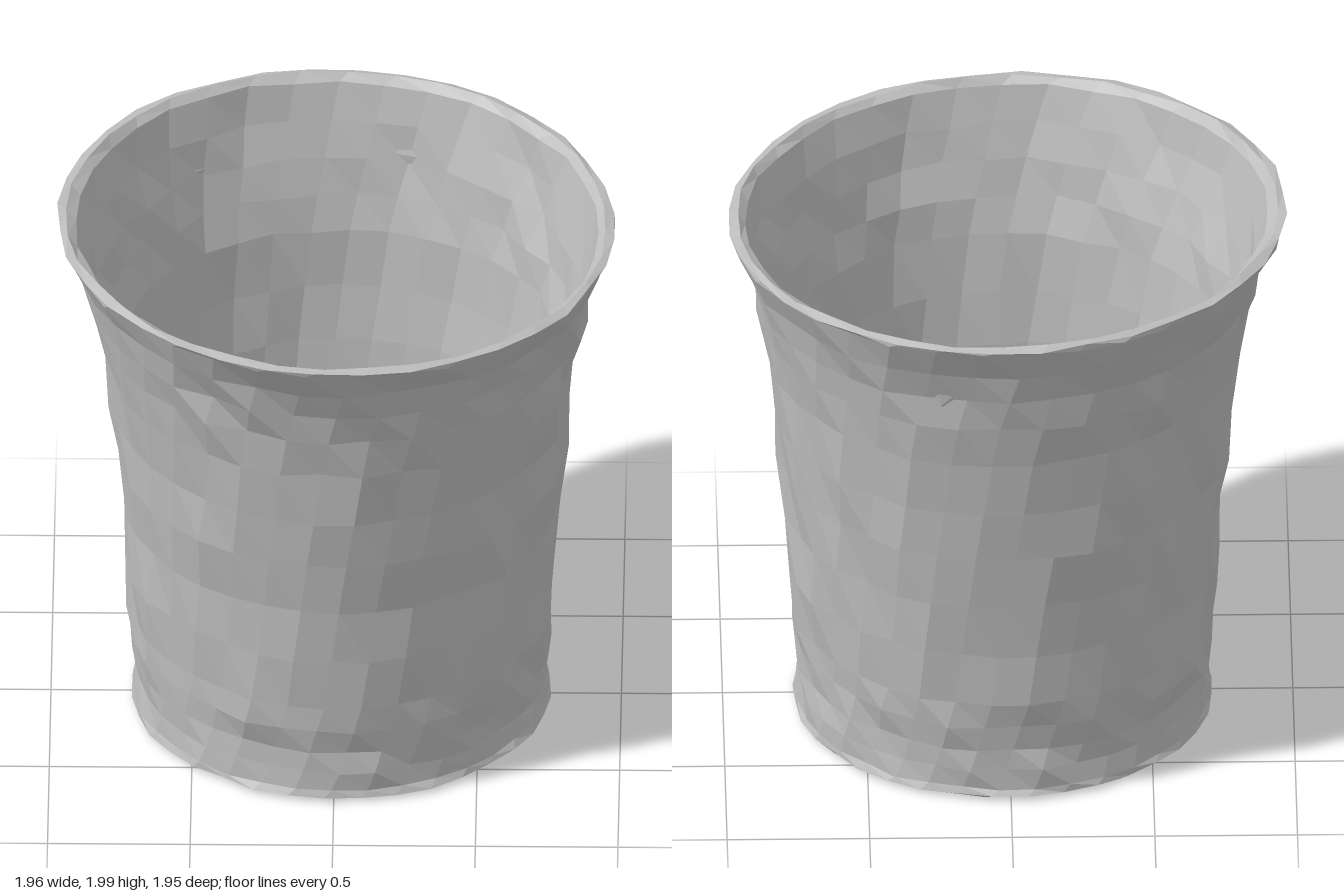
import * as THREE from 'three';

const SIDES = 36;

// Repeatable noise in -1..1 for a row and a column
function noise(row, col) {
  const s = Math.sin(row * 127.1 + col * 311.7 + 4.3) * 43758.5453;
  return 2 * (s - Math.floor(s)) - 1;
}

// Point on a hand-shaped ring: the body sits slightly off centre, the rim tilts
function ringPoint(radius, y, row, col, wobble) {
  const angle = (col / SIDES) * Math.PI * 2 - row * 0.035;
  const tilt = (Math.max(0, y) / 2) ** 4;
  const r = radius + (radius > 0 ? noise(row, col) * wobble : 0);
  const x = Math.cos(angle) * r + 0.017 * (1 - tilt);
  const z = Math.sin(angle) * r - 0.017 * (1 - tilt);
  const dy = radius > 0 ? noise(row + 50, col) * Math.min(wobble, 0.006) : 0;
  return [x, y - (0.025 * x + 0.015 * z) * tilt + dy, z];
}

// Faceted surface through rings of [radius, y, wobble]
function ringSurface(rings, firstRow) {
  const rows = rings.map(([r, y, w], i) =>
    Array.from({ length: SIDES }, (_, j) => ringPoint(r, y, firstRow + i, j, w)));
  const pos = [];
  for (let i = 0; i < rows.length - 1; i++) {
    for (let j = 0; j < SIDES; j++) {
      const k = (j + 1) % SIDES;
      const a = rows[i][j], b = rows[i + 1][j], c = rows[i + 1][k], d = rows[i][k];
      pos.push(...a, ...b, ...c);
      if (rings[i][0] > 0) pos.push(...a, ...c, ...d);
    }
  }
  return toGeometry(pos);
}

function toGeometry(pos) {
  const geometry = new THREE.BufferGeometry();
  geometry.setAttribute('position', new THREE.Float32BufferAttribute(pos, 3));
  geometry.computeVertexNormals();
  return geometry;
}

// Pleated fan: twelve ridges reach further out and higher than the folds between
function pleatedFloor() {
  const folds = 24;
  const centre = [0.005, 0.08, -0.01];
  const edge = (i) => {
    const ridge = i % 2 === 0;
    const a = (i / folds) * Math.PI * 2;
    const r = (ridge ? 0.575 : 0.525) + noise(90, i % folds) * 0.012;
    return [Math.cos(a) * r + 0.01, ridge ? 0.22 : 0.15, Math.sin(a) * r - 0.01];
  };
  const pos = [];
  for (let i = 0; i < folds; i++) pos.push(...centre, ...edge(i + 1), ...edge(i));
  return toGeometry(pos);
}

export function createModel() {
  const clay = new THREE.MeshStandardMaterial({ color: 0xbcbcbc });
  clay.name = 'grey clay';
  clay.flatShading = true;
  clay.side = THREE.DoubleSide;

  const group = new THREE.Group();
  group.name = 'cup';
  const add = (name, geometry) => {
    const mesh = new THREE.Mesh(geometry, clay);
    mesh.name = name;
    group.add(mesh);
  };

  // Flat underside and thin flared foot
  add('base', ringSurface([
    [0, 0.03, 0], [0.4, 0.025, 0.01], [0.715, 0.012, 0.008],
    [0.738, 0.022, 0.006], [0.728, 0.045, 0.008],
  ], 0));

  // Outer wall, flaring toward the rim
  add('outerWall', ringSurface([
    [0.728, 0.045, 0.008], [0.725, 0.12, 0.012], [0.725, 0.2, 0.014], [0.738, 0.3, 0.014],
    [0.745, 0.4, 0.014], [0.757, 0.6, 0.014], [0.766, 0.81, 0.014], [0.788, 1.02, 0.014],
    [0.805, 1.21, 0.014], [0.825, 1.42, 0.016], [0.855, 1.58, 0.018], [0.876, 1.7, 0.016],
    [0.912, 1.82, 0.014], [0.97, 1.945, 0.008],
  ], 4));

  // Thin uneven lip
  add('rim', ringSurface([
    [0.97, 1.945, 0.008], [0.977, 1.96, 0.008], [0.948, 1.968, 0.006], [0.92, 1.945, 0.008],
  ], 17));

  // Inner wall, narrowing to the floor
  add('innerWall', ringSurface([
    [0.92, 1.945, 0.008], [0.885, 1.81, 0.014], [0.845, 1.68, 0.018], [0.81, 1.55, 0.018],
    [0.78, 1.42, 0.014], [0.755, 1.2, 0.012], [0.73, 1, 0.012], [0.705, 0.8, 0.012],
    [0.675, 0.6, 0.012], [0.64, 0.4, 0.01], [0.59, 0.23, 0.006], [0.52, 0.13, 0.004],
  ], 20));

  add('floor', pleatedFloor());
  return group;
}
